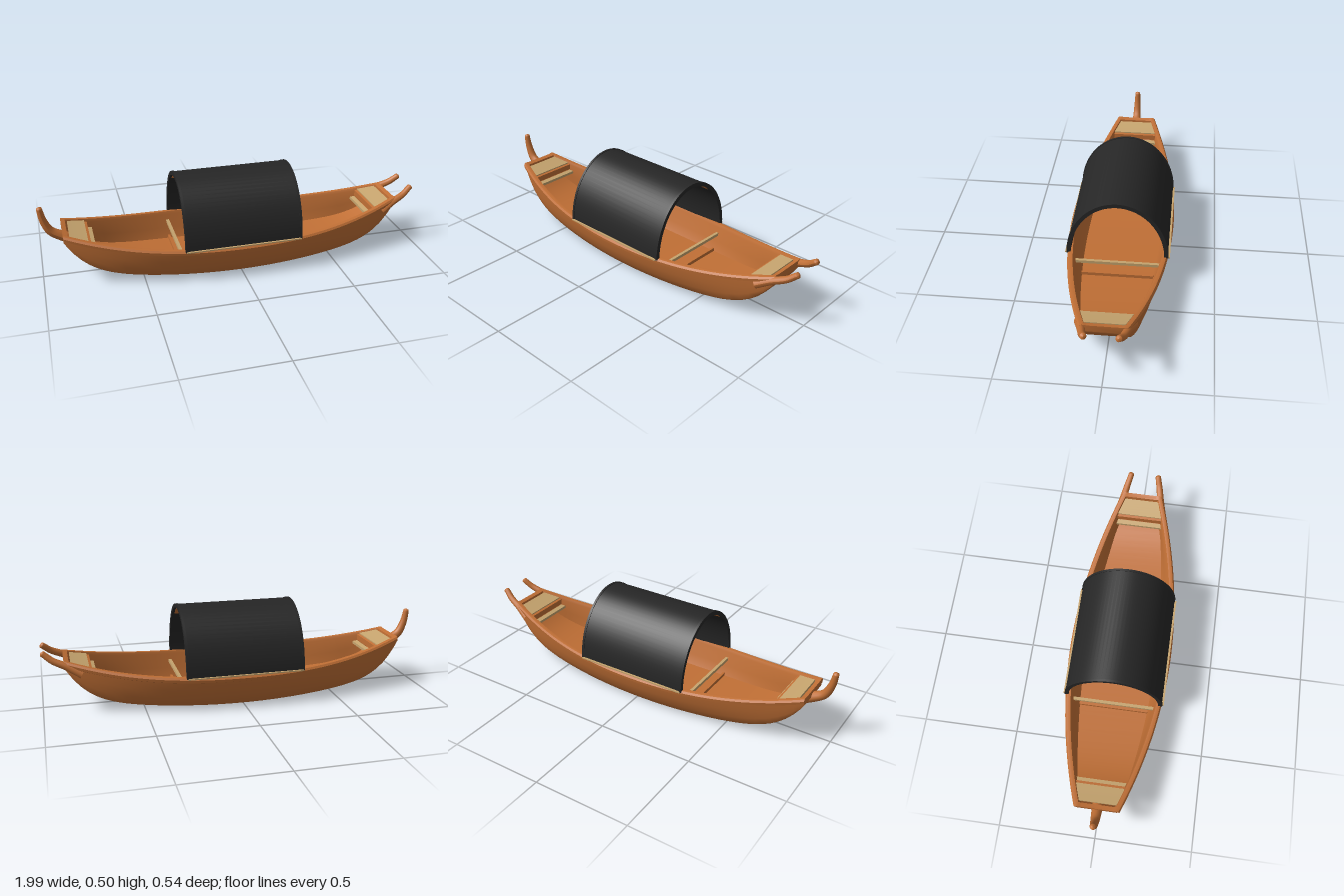
import * as THREE from 'three';
import { toCreasedNormals } from 'three/addons/utils/BufferGeometryUtils.js';

const wood = new THREE.MeshStandardMaterial({ color: 0xc06f35 });
wood.name = 'orange wood';
const plank = new THREE.MeshStandardMaterial({ color: 0xc6a46e });
plank.name = 'pale plank';
const black = new THREE.MeshStandardMaterial({ color: 0x262626 });
black.name = 'black canopy';

// Hull lines along the length
const END = 0.885;
const t = (x) => Math.abs(x) / END;
const keelY = (x) => 0.003 + 0.07 * t(x) ** 2 + 0.16 * t(x) ** 9;
const railY = (x) => 0.178 + 0.095 * t(x) ** 2.6;
const bottomW = (x) => 0.2 - 0.1 * t(x) ** 2;
const railW = (x) => 0.27 - 0.158 * t(x) ** 2;

// Skin closed (z, y) rings, counter-clockwise, along x and cap both ends
function loft(xs, ring, crease = 0.6) {
  const pos = [], idx = [];
  const rings = xs.map(ring), n = rings[0].length;
  rings.forEach((r, i) => r.forEach(([z, y]) => pos.push(xs[i], y, z)));
  for (let i = 0; i < xs.length - 1; i++) {
    for (let j = 0; j < n; j++) {
      const a = i * n + j, c = i * n + ((j + 1) % n);
      idx.push(a, a + n, c, a + n, c + n, c);
    }
  }
  [0, xs.length - 1].forEach((i, end) => {
    const contour = rings[i].map(([z, y]) => new THREE.Vector2(z, y));
    for (const [a, b, c] of THREE.ShapeUtils.triangulateShape(contour, [])) {
      const o = i * n;
      if (end) idx.push(o + a, o + c, o + b);
      else idx.push(o + a, o + b, o + c);
    }
  });
  const g = new THREE.BufferGeometry();
  g.setAttribute('position', new THREE.Float32BufferAttribute(pos, 3));
  g.setIndex(idx);
  return toCreasedNormals(g, crease);
}

const range = (a, b, n) => Array.from({ length: n + 1 }, (_, i) => a + (b - a) * i / n);

// Mirrored hull section: outer skin, rail lip, inner wall, floor
function hullRing(x) {
  const yb = keelY(x), yt = railY(x), wb = bottomW(x), wt = railW(x);
  const solid = Math.abs(x) > 0.862;
  const floor = solid ? yt - 0.003 : Math.min(yb + 0.03, yt - 0.02);
  const under = Math.max(yt - 0.03, yb + 0.006);
  const side = (f, bulge) => [wb + (wt - 0.01 - wb) * bulge, yb + (under - yb) * f];
  const inW = wt - 0.032, floorW = Math.min(wb - 0.005, inW - 0.006);
  const half = [
    [wb * 0.9, yb], [wb * 0.97, yb + (under - yb) * 0.03], side(0.1, 0.1),
    side(0.35, 0.48), side(0.7, 0.84), [wt - 0.01, under],
    [wt, under + 0.004], [wt + 0.002, yt - 0.012], [wt - 0.005, yt - 0.002],
    [wt - 0.014, yt], [inW + 0.006, yt - 0.001],
    [inW, Math.max(yt - 0.015, floor + 0.001)],
    [floorW + (inW - floorW) * 0.6, floor + (Math.max(yt - 0.015, floor + 0.001) - floor) * 0.4],
    [floorW, floor],
  ];
  return [...half, ...half.map(([z, y]) => [-z, y]).reverse()];
}

// Elliptical arch band between two radii offsets and angles
const archRing = (out, inn, a0, a1) => () => {
  const arc = (d) => range(a0, a1, 40).map((a) =>
    [(0.255 + d) * Math.cos(a), 0.17 + (0.325 + d) * Math.sin(a)]);
  return [...arc(out), ...arc(inn).reverse()];
};

// Tapered, round-ended horn swept through a few points
function horn(points, r0, r1) {
  const curve = new THREE.CatmullRomCurve3(points.map((p) => new THREE.Vector3(...p)));
  const n = 40, sides = 12;
  const g = new THREE.TubeGeometry(curve, n, 1, sides);
  const p = g.attributes.position, v = new THREE.Vector3();
  for (let i = 0; i <= n; i++) {
    const u = i / n, c = curve.getPointAt(u);
    const tip = Math.max(0, (u - 0.94) / 0.06);
    const r = (r0 + (r1 - r0) * u) * Math.sqrt(Math.max(0, 1 - tip ** 4));
    for (let j = 0; j <= sides; j++) {
      const k = i * (sides + 1) + j;
      v.fromBufferAttribute(p, k).sub(c).multiplyScalar(r).add(c);
      p.setXYZ(k, v.x, v.y, v.z);
    }
  }
  g.computeVertexNormals();
  return g;
}

export function createModel() {
  const boat = new THREE.Group();
  boat.name = 'canopyBoat';
  const add = (name, geometry, material) => {
    const m = new THREE.Mesh(geometry, material);
    m.name = name;
    boat.add(m);
    return m;
  };

  // Hull, with solid transoms at both ends
  const xs = [-END, -0.875, -0.863, -0.861, ...range(-0.84, 0.84, 48), 0.861, 0.863, 0.875, END];
  add('hull', loft(xs, hullRing), wood);

  // Boards that follow the hull's plan and sheer
  const board = (x0, x1, drop, inset, thick) => loft(range(x0, x1, 6), (x) => {
    const w = railW(x) - inset, y = railY(x) - drop;
    return [[-w, y - thick], [w, y - thick], [w, y], [-w, y]];
  });
  for (const s of [-1, 1]) {
    const span = (a, b) => (s > 0 ? [a, b] : [-b, -a]);
    add('endDeck', board(...span(0.765, 0.853), 0.006, 0.03, 0.014), plank);
    add('deckBeam', board(...span(0.752, 0.765), 0.012, 0.032, 0.03), wood);
    add('bench', board(...span(0.728, 0.752), 0.045, 0.036, 0.014), plank);
    add('crossBeam', board(...span(0.302, 0.318), 0.045, 0.036, 0.016), plank);
    add('floorFrame', board(...span(0.304, 0.316), 0.125, 0.066, 0.03), wood);
  }

  // Canopy with raised end hoops and a wooden ceiling
  const lo = 0.02, hi = Math.PI - lo;
  add('canopy', loft([-0.3, 0.3], archRing(0, -0.016, lo, hi)), black);
  for (const s of [-1, 1]) {
    add('canopyHoop', loft([s * 0.299 - 0.006, s * 0.299 + 0.006],
      archRing(0.003, -0.018, lo, hi)), black);
    const sill = add('canopySill', new THREE.BoxGeometry(0.6, 0.006, 0.02), plank);
    sill.position.set(0, 0.178, s * 0.255);
  }
  add('canopyCeiling', loft([-0.29, 0.29], archRing(-0.015, -0.0175, 0.9, Math.PI - 0.9)), wood);

  // Twin bow horns and single stern horn
  for (const s of [-1, 1]) {
    add('bowHorn', horn([[0.8, 0.205, s * 0.125], [0.87, 0.243, s * 0.106],
      [0.94, 0.275, s * 0.09], [0.975, 0.302, s * 0.079], [0.993, 0.316, s * 0.075]],
    0.022, 0.015), wood);
  }
  add('sternHorn', horn([[-0.83, 0.2, 0], [-0.89, 0.228, 0], [-0.94, 0.26, 0],
    [-0.97, 0.32, 0], [-0.985, 0.396, 0]], 0.03, 0.014), wood);

  return boat;
}
